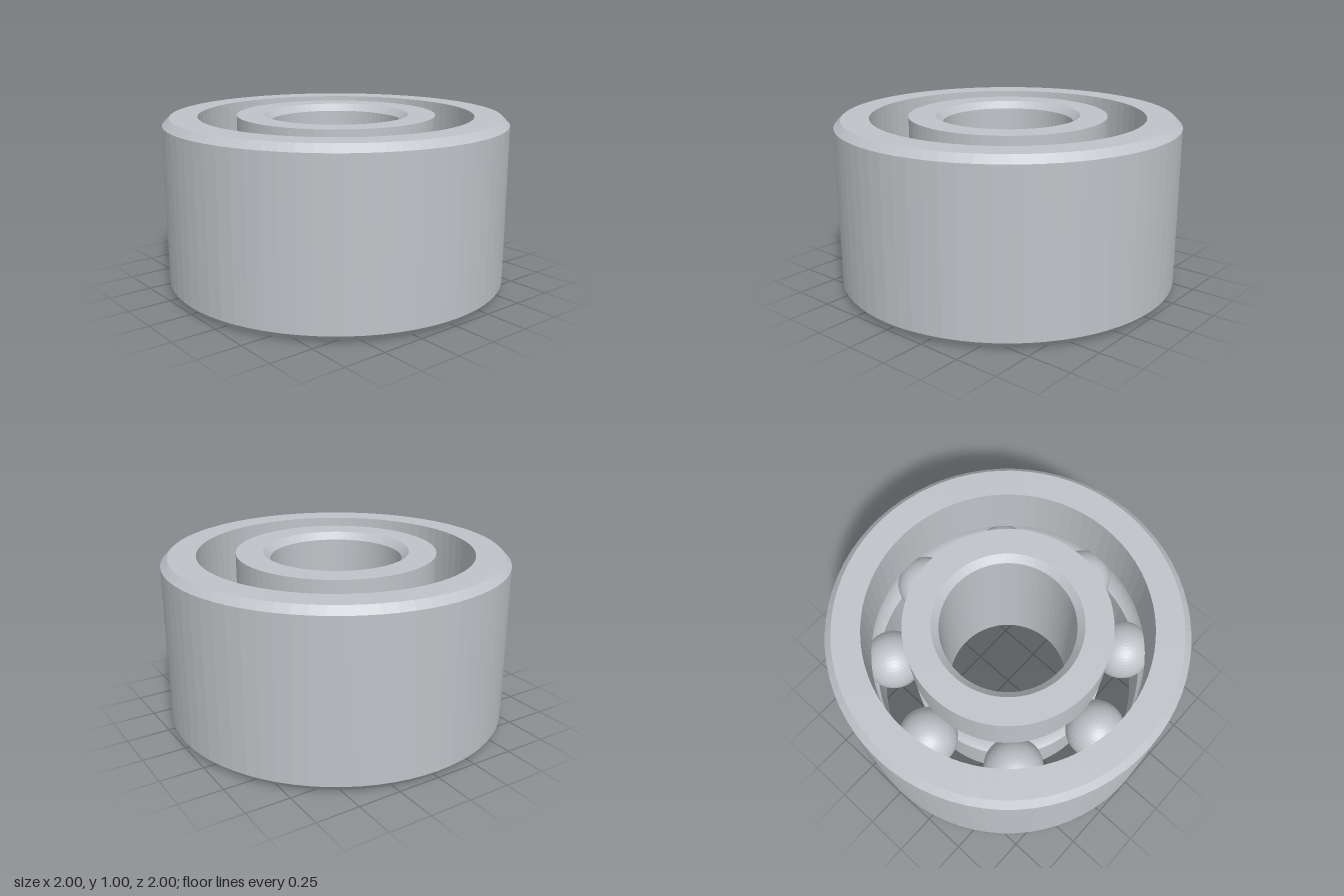
import * as THREE from 'three';

const HEIGHT = 1, MID = HEIGHT / 2, CHAMFER = 0.04;
const PITCH = 0.685, BALL = 0.173, BALL_COUNT = 8;
const OUTER = 1, OUTER_LIP = 0.8, INNER_LIP = 0.577, BORE = 0.38;

// Points of a ball groove cut into a lip; side is +1 for the outer race, -1 for the inner.
function groove(lip, side, steps = 14) {
  const r = BALL + 0.003;
  const half = Math.acos(Math.abs(lip - PITCH) / r);
  const points = [];
  for (let i = 0; i <= steps; i++) {
    const a = -half + (2 * half * i) / steps;
    points.push(new THREE.Vector2(PITCH + side * r * Math.cos(a), MID + r * Math.sin(a)));
  }
  return points;
}

// Closed profile, running up the outside and down the inside, spun round y.
function ring(name, profile, material) {
  const mesh = new THREE.Mesh(new THREE.LatheGeometry([...profile, profile[0].clone()], 72), material);
  mesh.name = name;
  return mesh;
}

export function createModel() {
  const steel = new THREE.MeshStandardMaterial({ color: 0xc0c3c8, flatShading: true });
  steel.name = 'steel';
  const model = new THREE.Group();
  model.name = 'ballBearing';
  const p = (r, y) => new THREE.Vector2(r, y);

  // Outer race: chamfered outside, grooved inside
  model.add(ring('outerRace', [
    p(OUTER_LIP, 0), p(OUTER - CHAMFER, 0), p(OUTER, CHAMFER),
    p(OUTER, HEIGHT - CHAMFER), p(OUTER - CHAMFER, HEIGHT), p(OUTER_LIP, HEIGHT),
    ...groove(OUTER_LIP, 1).reverse(),
  ], steel));

  // Inner race: grooved outside, chamfered bore
  model.add(ring('innerRace', [
    p(BORE + CHAMFER, 0), p(INNER_LIP, 0),
    ...groove(INNER_LIP, -1),
    p(INNER_LIP, HEIGHT), p(BORE + CHAMFER, HEIGHT),
    p(BORE, HEIGHT - CHAMFER), p(BORE, CHAMFER),
  ], steel));

  // Balls spaced evenly between the races
  const balls = new THREE.Group();
  balls.name = 'balls';
  const ballGeometry = new THREE.SphereGeometry(BALL, 36, 24);
  for (let i = 0; i < BALL_COUNT; i++) {
    const a = (i / BALL_COUNT) * Math.PI * 2;
    const ball = new THREE.Mesh(ballGeometry, steel);
    ball.name = 'ball' + (i + 1);
    ball.position.set(PITCH * Math.cos(a), MID, PITCH * Math.sin(a));
    balls.add(ball);
  }
  model.add(balls);
  return model;
}
